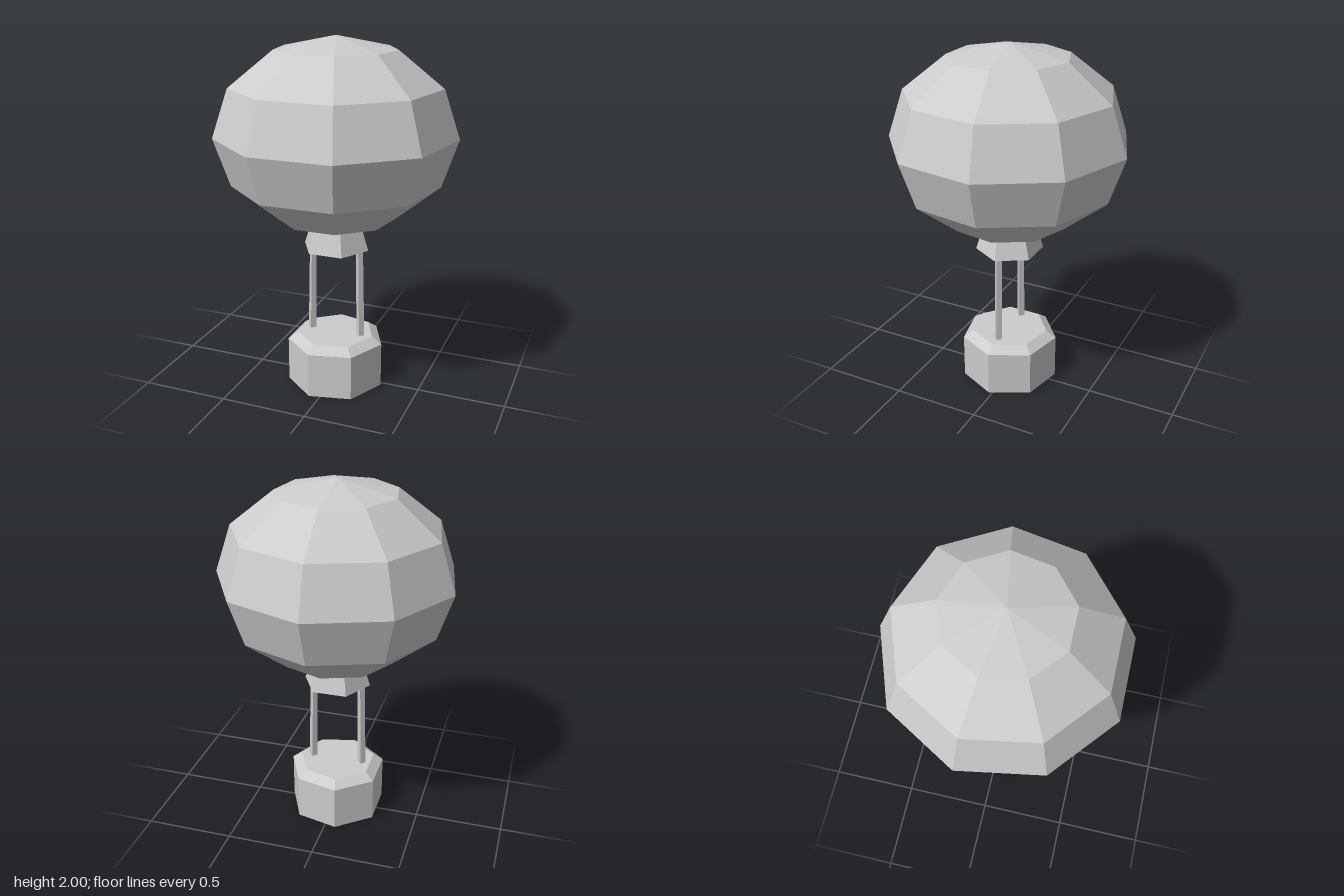
import * as THREE from 'three';

const CZ = 0.022; // shared centre of all parts along z
const grey = new THREE.MeshStandardMaterial({ color: 0xcccccc });
grey.name = 'grey';

// Faceted mesh: split the faces so each gets its own normal
function facet(name, geometry) {
  const flat = geometry.toNonIndexed();
  flat.computeVertexNormals();
  const mesh = new THREE.Mesh(flat, grey);
  mesh.name = name;
  return mesh;
}

// Prism or frustum from y0 to y1 with one corner pointing to +x
function frustum(name, sides, r0, r1, y0, y1, open = false) {
  const geometry = new THREE.CylinderGeometry(r1, r0, y1 - y0, sides, 1, open, Math.PI / 2);
  geometry.translate(0, (y0 + y1) / 2, 0);
  return facet(name, geometry);
}

export function createModel() {
  const model = new THREE.Group();
  model.name = 'hotAirBalloon';

  // Nine-sided envelope, flattened, with a corner towards the back
  const envelope = new THREE.SphereGeometry(0.665, 9, 6, Math.PI * 1.5);
  envelope.scale(1, 0.53 / 0.665, 1);
  envelope.translate(0, 1.47, 0);
  model.add(facet('envelope', envelope));

  // Six-sided collar under the envelope
  model.add(frustum('collar', 6, 0.192, 0.145, 0.825, 0.975));

  // Two slightly leaning, four-sided ropes
  for (const side of [1, -1]) {
    const rope = new THREE.CylinderGeometry(0.021, 0.024, 0.56, 4);
    rope.rotateZ(side * 0.019);
    rope.translate(side * 0.145, 0.57, 0);
    model.add(facet(side > 0 ? 'leftRope' : 'rightRope', rope));
  }

  // Seven-sided basket with a bevelled rim
  const basket = new THREE.Group();
  basket.name = 'basket';
  const profile = [[0, 0], [0.279, 0], [0.279, 0.26], [0.222, 0.3], [0, 0.3]]
    .map(([r, y]) => new THREE.Vector2(r, y));
  basket.add(facet('basketBody', new THREE.LatheGeometry(profile, 7, Math.PI / 2)));
  model.add(basket);

  for (const part of model.children) part.position.z = CZ;
  return model;
}
